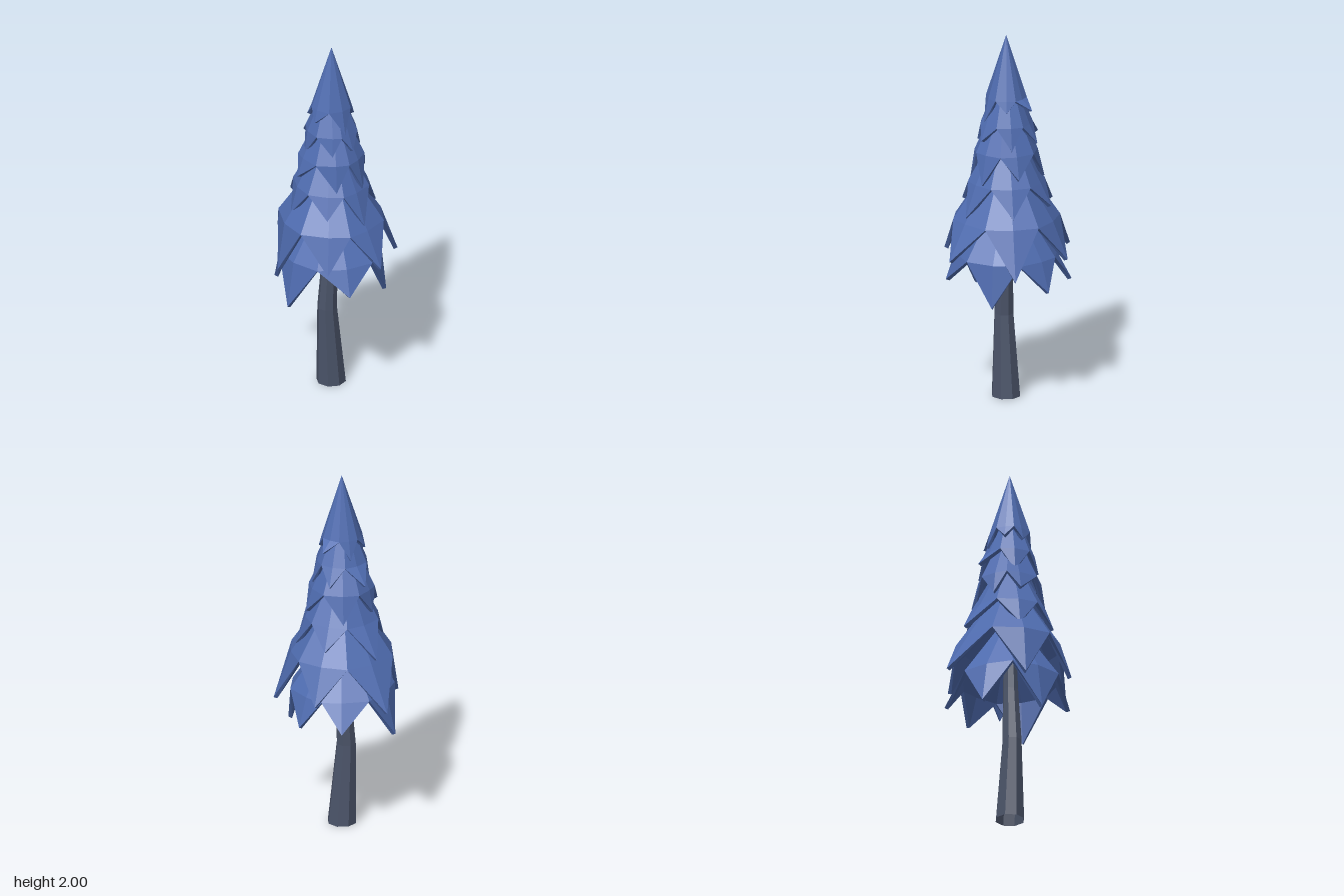
import * as THREE from 'three';

const foliage = new THREE.MeshStandardMaterial({ color: 0x4f6cb0, flatShading: true });
foliage.name = 'blue needles';
const bark = new THREE.MeshStandardMaterial({ color: 0x4a5368, flatShading: true, side: THREE.DoubleSide });
bark.name = 'grey bark';

const AXIS = { x: -0.02, z: 0.02 };

// Each tier: peak height, notch height and radius, and the drooping leaf tips
const TIERS = [
  { peak: 1.2, notchY: 0.8, notchR: 0.28, tips: [
    [-0.325, 0.55, 0.06], [-0.11, 0.66, 0.33], [0.2, 0.57, 0.21],
    [0.28, 0.64, -0.085], [0.13, 0.65, -0.29], [-0.21, 0.57, -0.235]] },
  { peak: 1.42, notchY: 1.0, notchR: 0.285, tips: [
    [0.05, 0.81, 0.385], [0.325, 0.74, 0.13], [0.25, 0.8, -0.21],
    [-0.09, 0.77, -0.385], [-0.325, 0.73, -0.035], [-0.22, 0.8, 0.285]] },
  { peak: 1.58, notchY: 1.2, notchR: 0.205, tips: [
    [0.215, 1.05, 0.09], [0.165, 1.08, -0.155], [-0.08, 1.04, -0.28],
    [-0.245, 1.05, -0.03], [-0.17, 1.08, 0.205], [0.02, 1.03, 0.275]] },
  { peak: 1.74, notchY: 1.37, notchR: 0.175, tips: [
    [0.18, 1.25, 0.04], [0.06, 1.21, 0.2], [-0.1, 1.22, 0.19],
    [-0.215, 1.27, -0.01], [-0.13, 1.25, -0.13], [0.06, 1.22, -0.165]] },
  { peak: 1.86, notchY: 1.52, notchR: 0.14, tips: [
    [-0.06, 1.43, -0.185], [0.11, 1.42, -0.1], [0.135, 1.4, 0.06],
    [0.01, 1.44, 0.18], [-0.1, 1.42, 0.15], [-0.165, 1.39, -0.02]] },
  { peak: 2.0, notchY: 1.66, notchR: 0.11, tips: [
    [-0.02, 1.53, 0.15], [0.09, 1.6, 0.07], [0.13, 1.61, -0.06],
    [-0.01, 1.56, -0.11], [-0.12, 1.6, -0.06], [-0.14, 1.59, 0.04]] },
];

const angleOf = ([x, , z]) => Math.atan2(z - AXIS.z, x - AXIS.x);
const polar = (a, r, y) => [AXIS.x + Math.cos(a) * r, y, AXIS.z + Math.sin(a) * r];

// Point moved towards the axis to give the leaves their thickness
function pullIn(p) {
  const a = angleOf(p);
  return [p[0] - Math.cos(a) * 0.02, p[1] - 0.008, p[2] - Math.sin(a) * 0.02];
}

// A hollow cone of six leaves, each folded at the notch level and ending in a tip
function tierGeometry({ peak, notchY, notchR, tips }) {
  const top = [AXIS.x, peak, AXIS.z];
  const innerTop = [AXIS.x, peak - 0.05, AXIS.z];
  const sorted = [...tips].sort((a, b) => angleOf(a) - angleOf(b));
  const notches = sorted.map((tip, i) => {
    const a = angleOf(tip);
    let b = angleOf(sorted[(i + 1) % sorted.length]);
    if (b < a) b += Math.PI * 2;
    return polar((a + b) / 2, notchR, notchY);
  });

  const points = [];
  const inside = (p) => (p === top ? innerTop : pullIn(p));
  // One outer face and its reversed copy on the inner shell
  const face = (a, b, c) => points.push(...a, ...b, ...c, ...inside(a), ...inside(c), ...inside(b));
  // Thin strip closing the rim
  const edge = (p, q) => points.push(...p, ...q, ...inside(q), ...p, ...inside(q), ...inside(p));

  sorted.forEach((tip, i) => {
    const prev = notches[(i + notches.length - 1) % notches.length];
    const next = notches[i];
    const fold = polar(angleOf(tip), notchR * 0.95, notchY);
    face(top, fold, prev);
    face(top, next, fold);
    face(fold, tip, prev);
    face(fold, next, tip);
    edge(prev, tip);
    edge(tip, next);
  });
  const geometry = new THREE.BufferGeometry();
  geometry.setAttribute('position', new THREE.Float32BufferAttribute(points, 3));
  geometry.computeVertexNormals();
  return geometry;
}

// Open eight-sided trunk with a slight bend, shaped ring by ring: y, centre x, radius
function trunkGeometry() {
  const rings = [[1.15, -0.02, 0.03], [0.75, -0.03, 0.042], [0.45, -0.047, 0.053], [0, -0.022, 0.079]];
  const geometry = new THREE.CylinderGeometry(1, 1, 3, 8, 3, true);
  const pos = geometry.attributes.position;
  for (let i = 0; i < pos.count; i++) {
    const [y, cx, r] = rings[Math.round(1.5 - pos.getY(i))];
    pos.setXYZ(i, cx + pos.getX(i) * r, y, AXIS.z + pos.getZ(i) * r);
  }
  geometry.computeVertexNormals();
  return geometry;
}

export function createModel() {
  const tree = new THREE.Group();
  tree.name = 'pineTree';

  const trunk = new THREE.Mesh(trunkGeometry(), bark);
  trunk.name = 'trunk';
  tree.add(trunk);

  TIERS.forEach((tier, i) => {
    const mesh = new THREE.Mesh(tierGeometry(tier), foliage);
    mesh.name = `branchTier${i + 1}`;
    tree.add(mesh);
  });
  return tree;
}
